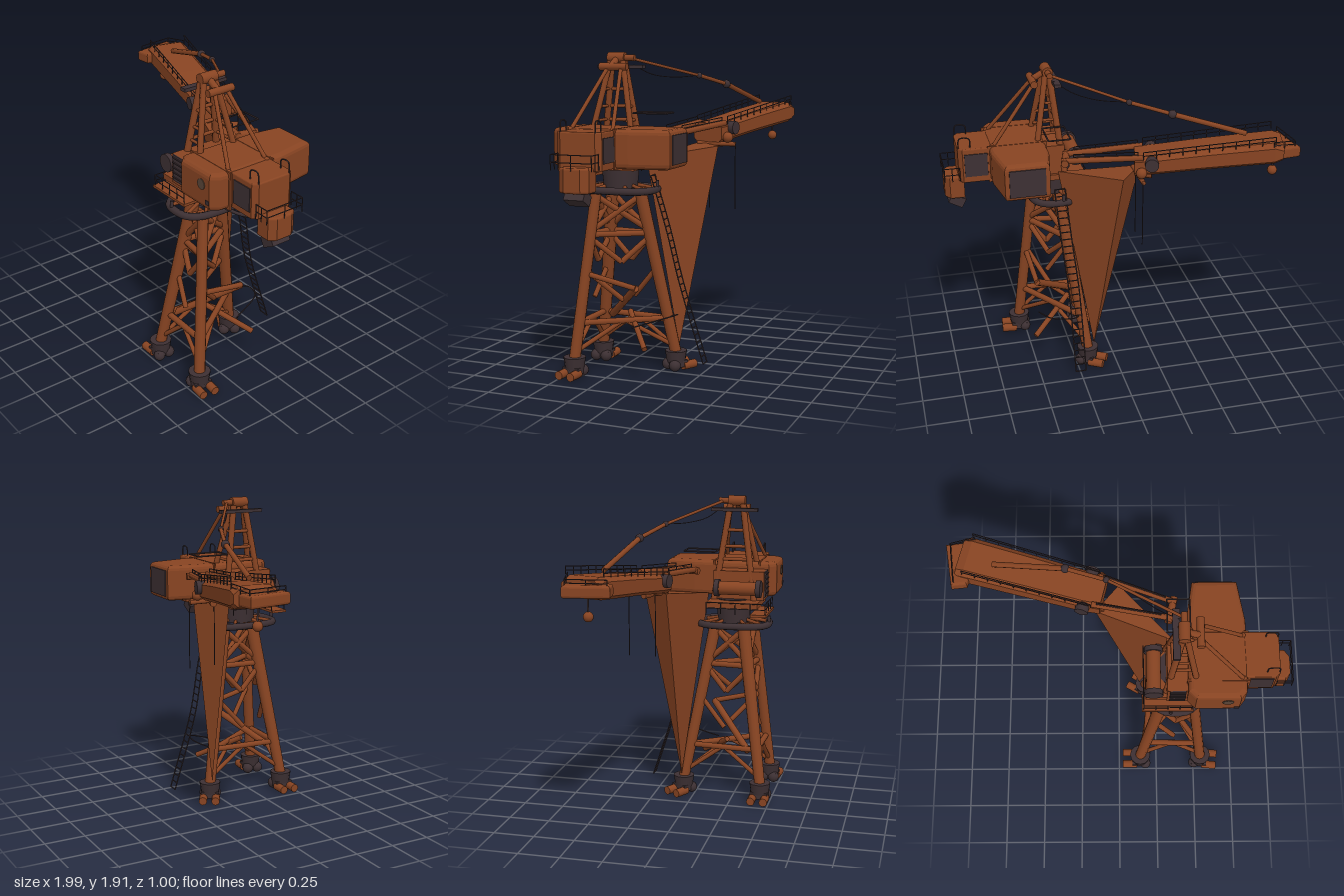
import * as THREE from 'three';

const mat = (name, color, side = THREE.FrontSide) => {
  const m = new THREE.MeshStandardMaterial({ color, side });
  m.name = name;
  return m;
};
const V = (x, y, z) => new THREE.Vector3(x, y, z);

export function createModel() {
  const rust = mat('rust', 0x884422);
  const rustSheet = mat('rustSheet', 0x884422, THREE.DoubleSide);
  const dark = mat('darkSteel', 0x3d3033);
  const worn = mat('wornSteel', 0x584538);
  const model = new THREE.Group();
  model.name = 'harbourCrane';

  const group = (name, parent = model) => {
    const g = new THREE.Group();
    g.name = name;
    parent.add(g);
    return g;
  };
  const add = (p, name, geo, m, pos) => {
    const mesh = new THREE.Mesh(geo, m);
    mesh.name = name;
    if (pos) mesh.position.copy(pos);
    p.add(mesh);
    return mesh;
  };
  const beam = (p, name, a, b, r, m = rust, sides = 8, r2 = r) => {
    const d = b.clone().sub(a);
    const mesh = add(p, name, new THREE.CylinderGeometry(r2, r, d.length(), sides), m, a.clone().lerp(b, 0.5));
    mesh.quaternion.setFromUnitVectors(V(0, 1, 0), d.normalize());
    return mesh;
  };
  const box = (p, name, x0, x1, y0, y1, z0, z1, m = rust) =>
    add(p, name, new THREE.BoxGeometry(x1 - x0, y1 - y0, z1 - z0), m, V((x0 + x1) / 2, (y0 + y1) / 2, (z0 + z1) / 2));
  const tube = (p, name, pts, r, m, closed = false) =>
    add(p, name, new THREE.TubeGeometry(new THREE.CatmullRomCurve3(pts, closed), 40, r, 8, closed), m);
  // Slab from a plan outline of [x, z] points, standing on y
  const slab = (p, name, pts, y, depth, bevel) => {
    const shape = new THREE.Shape(pts.map(([x, z]) => new THREE.Vector2(x, -z)));
    const geo = new THREE.ExtrudeGeometry(shape, { depth: depth - 2 * bevel, bevelSize: bevel, bevelThickness: bevel, bevelOffset: -bevel, bevelSegments: 3 });
    geo.rotateX(-Math.PI / 2);
    return add(p, name, geo, rust, V(0, y + bevel, 0));
  };
  // Handrail: posts, a top bar and a middle bar along a polyline
  const rail = (p, name, pts, h, n) => {
    const g = group(name, p);
    const up = (v, k) => v.clone().add(V(0, h * k, 0));
    for (let i = 0; i + 1 < pts.length; i++) {
      for (const k of [0.5, 1]) beam(g, 'railBar', up(pts[i], k), up(pts[i + 1], k), 0.003, dark, 5);
      for (let j = 0; j <= n; j++) {
        const q = pts[i].clone().lerp(pts[i + 1], j / n);
        beam(g, 'railPost', q, up(q, 1), 0.003, dark, 5);
      }
    }
  };

  // Three-legged tower
  const tower = group('tower');
  const legs = [
    { foot: V(0.14, 0.1, 0.435), top: V(0.29, 1.12, 0.29), out: V(-1, 0, 0), r: 0.042 },
    { foot: V(0.54, 0.1, 0.435), top: V(0.435, 1.12, 0.33), out: V(1, 0, 0.1), r: 0.032 },
    { foot: V(0.18, 0.1, -0.07), top: V(0.31, 1.12, 0.11), out: V(-0.85, 0, -0.5), r: 0.038 },
  ];
  const at = (leg, y) => leg.foot.clone().lerp(leg.top, (y - 0.1) / 1.02);
  for (const leg of legs) {
    beam(tower, 'leg', leg.foot, leg.top, 0.034, rust, 12, leg.r);
    const f = group('foot', tower);
    f.position.set(leg.foot.x, 0, leg.foot.z);
    f.rotation.y = Math.atan2(-leg.out.z, leg.out.x);
    add(f, 'collar', new THREE.CylinderGeometry(0.067, 0.057, 0.07, 12), dark, V(0, 0.088, 0));
    add(f, 'bogie', new THREE.BoxGeometry(0.1, 0.04, 0.11), dark, V(0, 0.045, 0));
    for (const s of [-1, 1]) {
      beam(f, 'roller', V(0.02, 0.03, s * 0.04), V(0.115, 0.03, s * 0.04), 0.026, rust, 12);
      add(f, 'bogieHub', new THREE.SphereGeometry(0.036, 12, 8), dark, V(-0.035, 0.038, s * 0.034));
    }
  }
  // Bracing on the three faces
  for (let i = 0; i < 3; i++) {
    const a = legs[i], b = legs[(i + 1) % 3];
    const mid = (y) => at(a, y).lerp(at(b, y), 0.5);
    for (const y of [0.325, 0.85]) beam(tower, 'crossBeam', at(a, y), at(b, y), 0.019);
    beam(tower, 'upperBrace', at(a, 0.87), at(b, 1.08), 0.018);
    beam(tower, 'upperBrace', at(b, 0.87), at(a, 1.08), 0.018);
    for (const l of [a, b]) {
      beam(tower, 'middleBrace', at(l, 0.83), mid(0.68), 0.017);
      beam(tower, 'footBrace', mid(0.33), at(l, 0.15), 0.014);
    }
    beam(tower, 'longBrace', mid(0.45), at(a, 0.64), 0.016);
  }
  beam(tower, 'outriggerBrace', V(0.18, 0.31, 0.35), V(0.47, 0.55, 0.07), 0.022);
  beam(tower, 'outriggerBrace', V(0.25, 0.36, 0.2), V(0.5, 0.2, 0.0), 0.017);
  beam(tower, 'outriggerBrace', V(0.47, 0.55, 0.07), at(legs[1], 0.62), 0.017);

  // Ladder up the rear leg
  const ladder = group('ladder');
  const path = [V(0.27, 0.09, -0.29), V(0.275, 0.57, -0.14), V(0.3, 0.88, -0.07), V(0.32, 1.2, 0.02)];
  const side = V(0.032, 0, 0);
  const run = new THREE.CatmullRomCurve3(path);
  for (const s of [-1, 1]) tube(ladder, 'ladderSide', path.map((q) => q.clone().addScaledVector(side, s)), 0.004, dark);
  for (let i = 0; i <= 26; i++) {
    const q = run.getPointAt(i / 26);
    beam(ladder, 'rung', q.clone().sub(side), q.clone().add(side), 0.004, dark, 5);
  }
  tube(ladder, 'ladderHoop', [V(0.22, 0.33, -0.03), V(0.28, 0.37, -0.12), V(0.4, 0.375, -0.1), V(0.46, 0.31, 0.1)], 0.004, dark);

  // Tapering folded sheet between the boom and the rear leg
  const sheet = new THREE.BufferGeometry();
  const foot = [0.14, 0.14, -0.075], back = [0, 1.355, -0.27], front = [-0.14, 1.365, -0.1], near = [0.32, 1.3, 0.06];
  sheet.setAttribute('position', new THREE.Float32BufferAttribute(
    [foot, back, near, foot, near, front, foot, front, back, back, front, near].flat(), 3));
  sheet.computeVertexNormals();
  add(model, 'chuteSheet', sheet, rustSheet);

  // Turntable and bumper ring
  const turn = group('turntable');
  add(turn, 'slewBase', new THREE.CylinderGeometry(0.115, 0.1, 0.15, 20), dark, V(0.335, 1.2, 0.22));
  const ring = [];
  for (let i = 0; i < 16; i++) {
    const t = (i / 16) * Math.PI * 2;
    const c = Math.cos(t), s = Math.sin(t);
    ring.push(V(0.33 + 0.15 * Math.sign(c) * Math.abs(c) ** 0.7, 1.115, 0.225 + 0.22 * Math.sign(s) * Math.abs(s) ** 0.7));
    if (i % 2) beam(turn, 'ringStrut', V(0.335, 1.16, 0.22), ring[i], 0.011, rust, 6);
  }
  tube(turn, 'bumperRing', ring, 0.022, dark, true);
  for (const z of [0.0, 0.45]) beam(turn, 'ringPost', V(0.3, 1.11, z), V(0.3, 1.17, z), 0.01, dark);

  // Machine platform
  const deck = group('machineDeck');
  box(deck, 'deckPlate', 0.15, 0.46, 1.235, 1.27, 0.08, 0.4);
  box(deck, 'machineBlock', 0.27, 0.45, 1.27, 1.45, 0.1, 0.42);
  box(deck, 'grille', 0.285, 0.375, 1.29, 1.45, 0.42, 0.428, dark);
  for (let i = 0; i < 5; i++) box(deck, 'grilleBar', 0.285, 0.375, 1.31 + i * 0.03, 1.316 + i * 0.03, 0.428, 0.434, dark);
  beam(deck, 'winchDrum', V(0.195, 1.355, 0.14), V(0.195, 1.355, 0.4), 0.042, rust, 20);
  for (const z of [0.14, 0.4]) beam(deck, 'winchFlange', V(0.195, 1.355, z - 0.015), V(0.195, 1.355, z + 0.015), 0.054, dark, 20);
  rail(deck, 'deckRail', [V(0.42, 1.2, 0.45), V(0.14, 1.2, 0.45), V(0.14, 1.2, 0.08)], 0.07, 4);
  box(deck, 'walkway', 0.13, 0.43, 1.19, 1.205, 0.36, 0.46);

  // Machinery house with rounded edges
  const house = group('house');
  slab(house, 'houseShell', [[0.385, 0.43], [0.43, 0.475], [0.68, 0.475], [0.715, 0.43], [0.725, 0.3], [0.72, 0.0], [0.68, -0.235], [0.42, -0.235], [0.39, -0.05]], 1.272, 0.222, 0.03);
  box(house, 'rearWindow', 0.445, 0.655, 1.3, 1.465, -0.242, -0.234, dark);
  for (const z of [0.08, 0.37]) box(house, 'seamBand', 0.38, 0.732, 1.27, 1.496, z - 0.005, z + 0.005);
  beam(house, 'vent', V(0.61, 1.415, 0.47), V(0.61, 1.415, 0.479), 0.032, worn, 12);
  box(house, 'lampPlate', 0.65, 0.68, 1.31, 1.335, 0.472, 0.479, dark);

  // Operator cab, rails and hanging box
  const cab = group('cab');
  slab(cab, 'cabBody', [[0.7, 0.35], [0.88, 0.35], [0.905, 0.32], [0.905, 0.11], [0.88, 0.08], [0.7, 0.08]], 1.275, 0.213, 0.008);
  for (const z of [0.348, 0.074]) box(cab, 'cabWindow', 0.735, 0.87, 1.315, 1.455, z, z + 0.008, dark);
  rail(cab, 'balconyRail', [V(0.9, 1.285, 0.335), V(0.99, 1.285, 0.335), V(0.99, 1.285, 0.09), V(0.9, 1.285, 0.09)], 0.085, 2);
  slab(cab, 'hangingBox', [[0.875, 0.3], [0.96, 0.3], [0.99, 0.26], [0.99, 0.16], [0.96, 0.12], [0.875, 0.12]], 1.16, 0.14, 0.012);
  const spout = box(cab, 'spout', 0.875, 0.965, 1.1, 1.16, 0.15, 0.27, dark);
  spout.rotation.z = 0.5;
  for (const z of [0.11, 0.32])
    tube(cab, 'roofHoop', [V(0.83, 1.48, z), V(0.835, 1.54, z), V(0.89, 1.545, z), V(0.9, 1.48, z)], 0.004, dark);
  tube(cab, 'hose', [V(0.4, 1.25, 0.3), V(0.52, 1.225, 0.31), V(0.68, 1.215, 0.3), V(0.8, 1.235, 0.27), V(0.87, 1.28, 0.24)], 0.01, dark);

  // A-frame mast with its head sheaves
  const mast = group('mast');
  for (const [z0, z1] of [[0.27, 0.36], [0.19, 0.1]]) {
    beam(mast, 'frontMastLeg', V(0.27, 1.25, z1), V(0.335, 1.86, z0), 0.02);
    beam(mast, 'rearMastLeg', V(0.44, 1.42, z1), V(0.36, 1.86, z0), 0.018);
    beam(mast, 'backStay', V(0.7, 1.48, z1), V(0.43, 1.83, z0 - 0.02), 0.012);
    add(mast, 'stayFoot', new THREE.SphereGeometry(0.016, 10, 8), rust, V(0.7, 1.485, z1));
  }
  for (const y of [1.52, 1.6, 1.7]) {
    const k = (y - 1.25) / 0.61, w = 0.13 - 0.09 * k, x = 0.27 + 0.065 * k;
    beam(mast, 'mastRung', V(x, y, 0.23 - w), V(x, y, 0.23 + w), 0.011);
    for (const s of [-1, 1]) beam(mast, 'mastTie', V(x, y, 0.23 + s * w), V(0.36 + (1.86 - y) * 0.18, y, 0.23 + s * w), 0.009);
  }
  beam(mast, 'headDrum', V(0.345, 1.88, 0.18), V(0.345, 1.88, 0.285), 0.032, rust, 16);
  beam(mast, 'headPin', V(0.345, 1.88, 0.12), V(0.345, 1.88, 0.18), 0.018, rust, 10);
  beam(mast, 'stayPin', V(0.435, 1.83, 0.13), V(0.435, 1.83, 0.3), 0.022, rust, 12);
  beam(mast, 'headLink', V(0.345, 1.88, 0.23), V(0.435, 1.83, 0.23), 0.02);
  box(mast, 'headWalk', 0.285, 0.325, 1.818, 1.838, 0.08, 0.37, dark);
  // Small side landing on the mast
  const corners = [V(0.27, 1.565, 0.11), V(0.4, 1.565, 0.11), V(0.4, 1.565, -0.09), V(0.27, 1.565, -0.09)];
  corners.forEach((c, i) => beam(mast, 'landingBar', c, corners[(i + 1) % 4], 0.005, dark, 6));

  // Boom, built along local -x and swung to the rear
  const boom = group('boom');
  boom.position.set(0.3, 0, -0.075);
  boom.rotation.y = -0.24;
  // Sections: distance out, bottom, top, half width
  const loft = (sections) => {
    const rings = sections.map(([u, b, t, w]) => [[b, -w * 0.8], [b + 0.02, -w], [t - 0.025, -w], [t, -w * 0.75],
      [t, w * 0.75], [t - 0.025, w], [b + 0.02, w], [b, w * 0.8]].map(([y, z]) => [-u, y, z]));
    const pos = [], n = 8, last = rings[rings.length - 1];
    for (let i = 0; i + 1 < rings.length; i++) for (let j = 0; j < n; j++) {
      const k = (j + 1) % n, [a, b, c, d] = [rings[i][j], rings[i][k], rings[i + 1][k], rings[i + 1][j]];
      pos.push(a, c, b, a, d, c);
    }
    for (let j = 1; j < n - 1; j++) pos.push(rings[0][0], rings[0][j], rings[0][j + 1], last[0], last[j + 1], last[j]);
    const g = new THREE.BufferGeometry();
    g.setAttribute('position', new THREE.Float32BufferAttribute(pos.flat(), 3));
    g.computeVertexNormals();
    return g;
  };
  add(boom, 'boomBody', loft([[0.4, 1.37, 1.485, 0.1], [0.5, 1.38, 1.495, 0.112], [0.8, 1.415, 1.535, 0.118], [1.2, 1.455, 1.58, 0.125], [1.25, 1.475, 1.565, 0.12]]), rust);
  // Skewed lip across the tip
  slab(model, 'boomLip', [[-1, -0.45], [-0.96, -0.19], [-0.87, -0.2], [-0.8, -0.47]], 1.475, 0.07, 0.015);
  for (const s of [-1, 1]) {
    beam(boom, 'rootBeam', V(0.02, 1.445, s * 0.05), V(-0.45, 1.485, s * 0.09), 0.018);
    rail(boom, 'boomRail', [V(-0.45, 1.48, s * 0.11), V(-1.2, 1.58, s * 0.12)], 0.045, 10);
    rail(boom, 'rootRail', [V(-0.05, 1.455, s * 0.055), V(-0.42, 1.485, s * 0.09)], 0.035, 3);
    beam(boom, 'sheaveCap', V(-0.5, 1.455, s * 0.09), V(-0.5, 1.455, s * 0.14), 0.04, dark, 16);
  }
  rail(model, 'tipRail', [V(-0.83, 1.55, -0.47), V(-0.97, 1.535, -0.44), V(-0.945, 1.535, -0.21)], 0.04, 2);
  beam(boom, 'rootPin', V(0, 1.44, -0.08), V(0, 1.44, 0.08), 0.022, rust, 12);

  // Hook ball, sheave housing and hanging cables
  const hoist = group('hoist');
  beam(hoist, 'hookLine', V(-0.88, 1.38, -0.34), V(-0.88, 1.5, -0.34), 0.006, dark, 6);
  add(hoist, 'hookBall', new THREE.SphereGeometry(0.029, 14, 10), rust, V(-0.88, 1.36, -0.34));
  add(hoist, 'sheaveHousing', new THREE.SphereGeometry(0.032, 14, 10), rust, V(-0.1, 1.4, -0.295));
  beam(hoist, 'cableBar', V(-0.1, 1.36, -0.345), V(-0.1, 1.36, -0.1), 0.014);
  beam(hoist, 'cableBarEnd', V(-0.18, 1.355, -0.23), V(-0.1, 1.355, -0.2), 0.02);
  for (const z of [-0.345, -0.18]) beam(hoist, 'cable', V(-0.096, 0.965, z), V(-0.096, 1.36, z), 0.003, dark, 5);

  // Pendant from the mast head to the boom
  const pendant = group('pendant');
  const knots = [V(0.335, 1.875, 0.14), V(-0.07, 1.772, -0.12), V(-0.3, 1.715, -0.215), V(-0.72, 1.59, -0.3)];
  [0.009, 0.012, 0.016].forEach((r, i) => beam(pendant, 'pendantRod', knots[i], knots[i + 1], r));
  add(pendant, 'smallKnot', new THREE.IcosahedronGeometry(0.019, 1), dark, knots[1]);
  add(pendant, 'largeKnot', new THREE.IcosahedronGeometry(0.026, 1), dark, knots[2]);
  tube(pendant, 'slackLine', [knots[1], V(0.1, 1.765, -0.02), V(0.22, 1.785, 0.07), V(0.32, 1.84, 0.14)], 0.0025, dark);

  return model;
}
